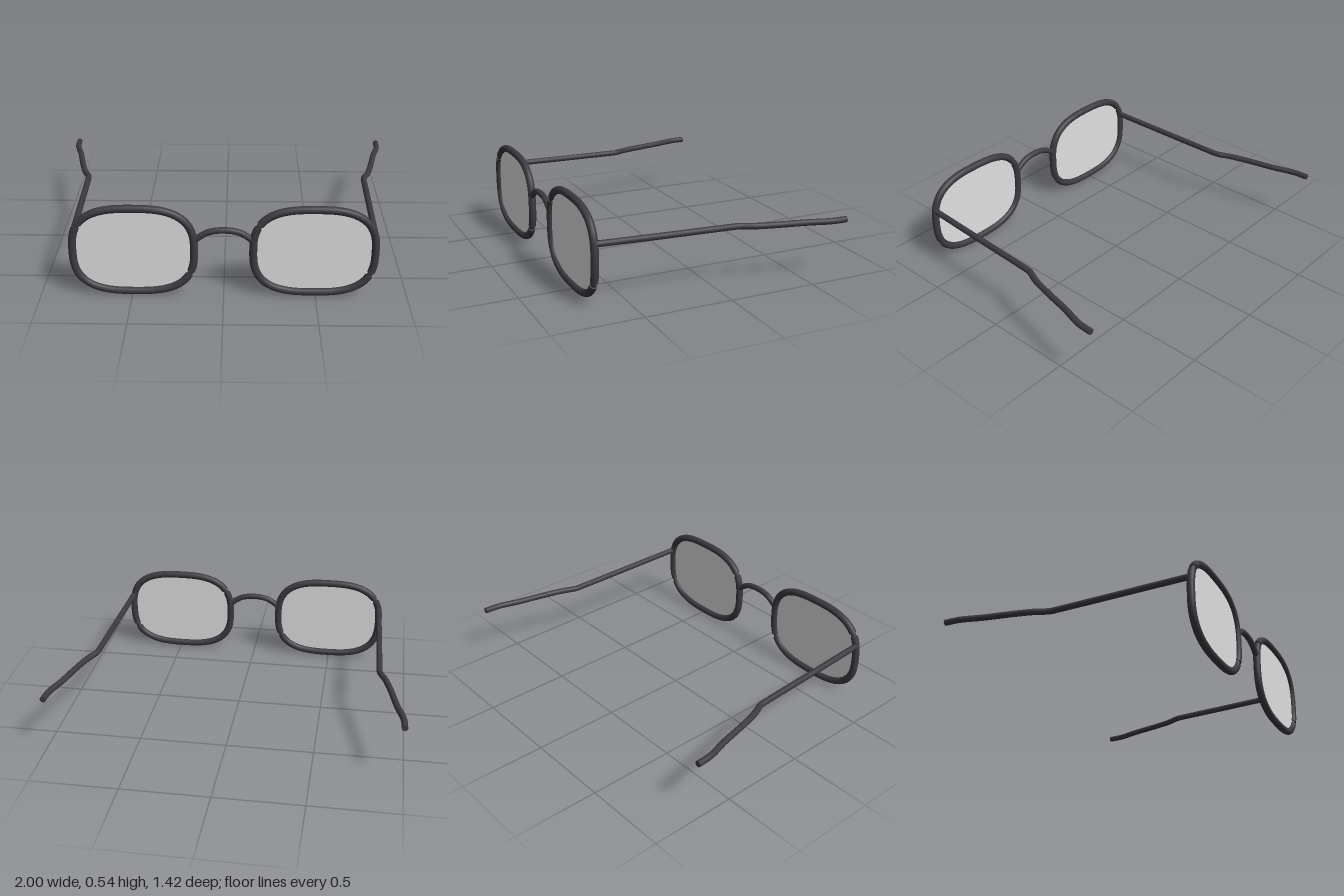
import * as THREE from 'three';

const frameMat = new THREE.MeshStandardMaterial({ color: 0x3a3a40 });
frameMat.name = 'charcoal frame';
const lensMat = new THREE.MeshStandardMaterial({ color: 0xe0e0e0, side: THREE.DoubleSide });
lensMat.name = 'pale grey lens';

const FRONT_Z = 0.691;
const CENTRE_X = 0.487;
const CENTRE_Y = 0.275;
const HALF_W = 0.328;
const HALF_H = 0.248;

// Point on the rounded lens outline, at a polar angle
function outline(a) {
  const n = 2.8;
  const c = Math.cos(a), s = Math.sin(a);
  const r = Math.pow(Math.pow(Math.abs(c) / HALF_W, n) + Math.pow(Math.abs(s) / HALF_H, n), -1 / n);
  return new THREE.Vector3(c * r, s * r, 0);
}

// Smooth rod along points, with flat ends when open
function rod(name, points, radius, closed = false, segments = 64) {
  const curve = new THREE.CatmullRomCurve3(points, closed, 'centripetal');
  const group = new THREE.Group();
  group.name = name;
  const body = new THREE.Mesh(new THREE.TubeGeometry(curve, segments, radius, 16, closed), frameMat);
  body.name = name + 'Body';
  group.add(body);
  if (!closed) {
    for (const t of [0, 1]) {
      const cap = new THREE.Mesh(new THREE.CircleGeometry(radius, 16), frameMat);
      cap.name = name + 'End';
      cap.position.copy(curve.getPoint(t));
      const out = curve.getTangent(t).multiplyScalar(t ? 1 : -1);
      cap.quaternion.setFromUnitVectors(new THREE.Vector3(0, 0, 1), out);
      group.add(cap);
    }
  }
  return group;
}

function arc(from, to, count) {
  return Array.from({ length: count + 1 }, (_, i) => outline(from + (to - from) * i / count));
}

// One lens with its rim: two thick arcs joined by a slimmer core
function eyepiece(name) {
  const group = new THREE.Group();
  group.name = name;
  const seamA = Math.atan2(0.15, -0.3);
  const seamB = Math.atan2(-0.135, 0.31);
  const gap = 0.035;
  group.add(rod('upperRim', arc(seamB + gap, seamA - gap, 36), 0.0215));
  group.add(rod('lowerRim', arc(seamA + gap, seamB + Math.PI * 2 - gap, 36), 0.0215));
  group.add(rod('rimCore', arc(0, Math.PI * 2, 72).slice(0, -1), 0.015, true, 96));

  const shape = new THREE.Shape(arc(0, Math.PI * 2, 72).slice(0, -1).map(p => new THREE.Vector2(p.x, p.y)));
  const lens = new THREE.Mesh(new THREE.ShapeGeometry(shape), lensMat);
  lens.name = 'lens';
  group.add(lens);
  return group;
}

export function createModel() {
  const model = new THREE.Group();
  model.name = 'eyeglasses';

  // Lenses and arms on both sides
  for (const [side, s] of [['left', 1], ['right', -1]]) {
    const eye = eyepiece(side + 'Eyepiece');
    eye.position.set(s * CENTRE_X, CENTRE_Y, FRONT_Z);
    model.add(eye);

    const arm = [
      [0.812, 0.362, 0.69], [0.825, 0.353, 0.28], [0.836, 0.346, -0.08], [0.839, 0.345, -0.125],
      [0.872, 0.344, -0.205], [0.905, 0.344, -0.33], [0.94, 0.344, -0.49],
      [0.976, 0.344, -0.62], [0.982, 0.344, -0.71],
    ].map(([x, y, z]) => new THREE.Vector3(s * x, y, z));
    model.add(rod(side + 'Arm', arm, 0.0175));
  }

  // Arched nose bridge
  const bridge = [
    [-0.16, 0.335], [-0.125, 0.363], [-0.085, 0.386], [-0.04, 0.397], [0, 0.399],
    [0.04, 0.397], [0.085, 0.386], [0.125, 0.363], [0.16, 0.335],
  ].map(([x, y]) => new THREE.Vector3(x, y, FRONT_Z));
  model.add(rod('bridge', bridge, 0.0175));

  return model;
}
